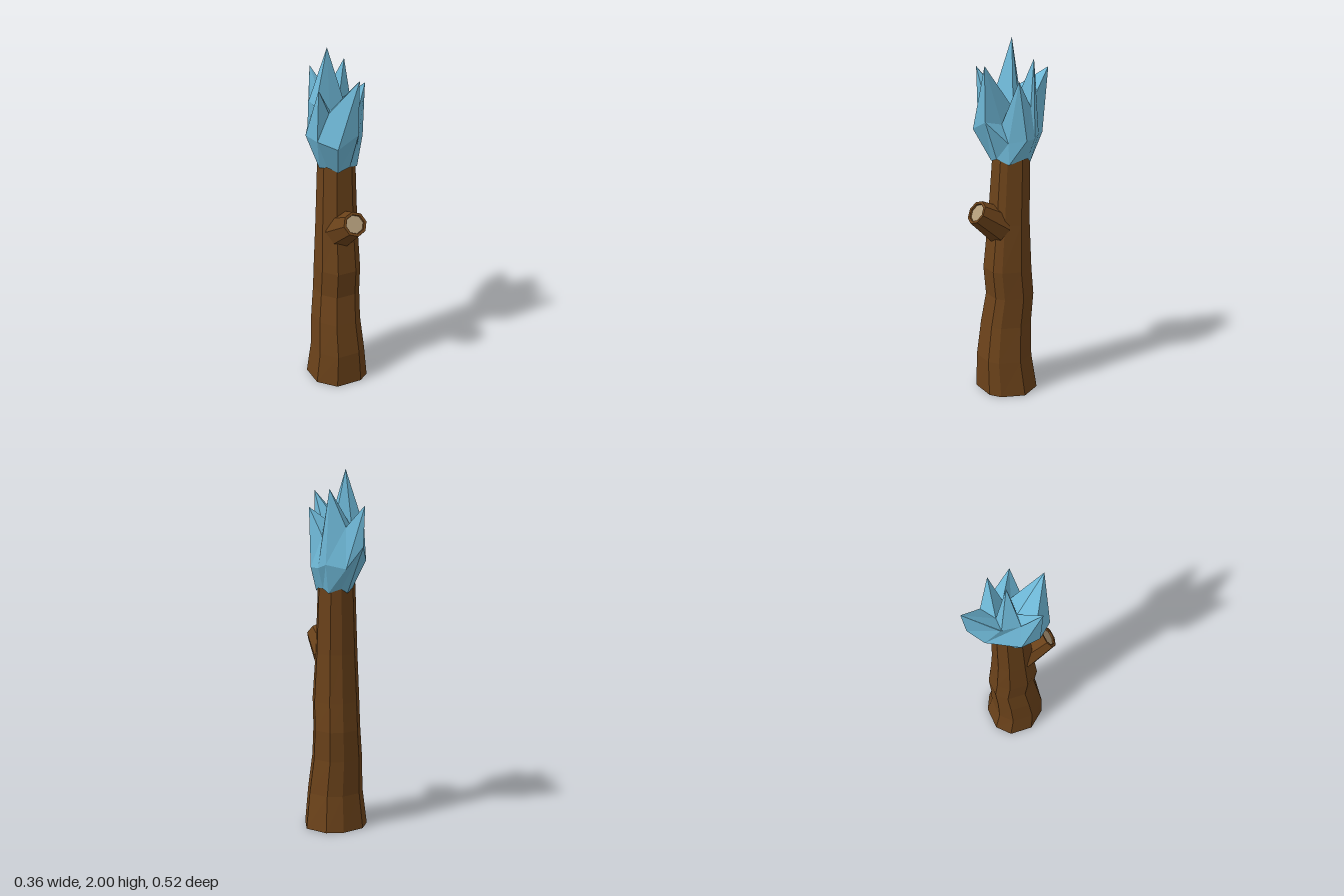
import * as THREE from 'three';

const material = (color) =>
  new THREE.MeshStandardMaterial({ color, flatShading: true, side: THREE.DoubleSide });
const bark = material(0x6b421a);
const wood = material(0xb09a78);
const ice = material(0x6fb9d8);

// Skins a stack of equal-length closed rings of [x, y, z] points, from low to high
function loft(rings) {
  const n = rings[0].length;
  const index = [];
  for (let r = 0; r < rings.length - 1; r++) {
    for (let i = 0; i < n; i++) {
      const a = r * n + i, b = r * n + (i + 1) % n;
      index.push(a, a + n, b, b, a + n, b + n);
    }
  }
  const geometry = new THREE.BufferGeometry();
  geometry.setAttribute('position', new THREE.Float32BufferAttribute(rings.flat(2), 3));
  geometry.setIndex(index);
  const flat = geometry.toNonIndexed();
  flat.computeVertexNormals();
  return flat;
}

function mesh(name, geometry, mat) {
  const m = new THREE.Mesh(geometry, mat);
  m.name = name;
  return m;
}

// Nine-sided trunk: one outline fitted to the bounds of each level
function makeTrunk() {
  const outline = [[0.18, 0.02], [0.125, 0.145], [0.065, 0.185], [-0.085, 0.18], [-0.17, 0.085],
    [-0.17, -0.05], [-0.1, -0.125], [0.03, -0.14], [0.12, -0.1]];
  const levels = [ // y, xMin, xMax, zMin, zMax
    [0, -0.17, 0.18, -0.14, 0.185],
    [0.2, -0.152, 0.152, -0.112, 0.183],
    [0.4, -0.142, 0.132, -0.115, 0.155],
    [0.57, -0.122, 0.134, -0.125, 0.13],
    [0.73, -0.122, 0.13, -0.113, 0.145],
    [1.0, -0.11, 0.118, -0.1, 0.117],
    [1.38, -0.092, 0.11, -0.1, 0.092],
  ];
  const rings = levels.map(([y, x0, x1, z0, z1]) => outline.map(([x, z]) => [
    THREE.MathUtils.mapLinear(x, -0.17, 0.18, x0, x1), y,
    THREE.MathUtils.mapLinear(z, -0.14, 0.185, z0, z1)]));
  return mesh('trunk', loft(rings), bark);
}

// Sawn-off branch with a rim and a recessed cut face
function makeBranch() {
  const branch = new THREE.Group();
  branch.name = 'branchStub';
  const profile = [[0.102, 0], [0.068, 0.18], [0.053, 0.18], [0.05, 0.17]]
    .map(([r, h]) => new THREE.Vector2(r, h));
  const cut = new THREE.CircleGeometry(0.051, 8).rotateX(-Math.PI / 2).translate(0, 0.171, 0);
  branch.add(
    mesh('branchBark', new THREE.LatheGeometry(profile, 8), bark),
    mesh('branchCutFace', cut, wood));
  branch.position.set(0, 0.98, 0.07);
  branch.rotation.x = Math.atan2(0.15, 0.1);
  return branch;
}

// Crystal crown: each column holds its bulge, its rim (spike tip or valley) and its inner floor point
function makeCrown() {
  const right = [0.055, 1.64, 0.02], front = [-0.05, 1.67, 0.02], left = [-0.13, 1.7, 0.015];
  const back = [-0.045, 1.69, -0.09], mid = [0.03, 1.7, -0.03], corner = [-0.12, 1.7, -0.085];
  const columns = [
    [[0.158, 1.48, 0], [0.145, 1.8, 0.042], right],
    [[0.09, 1.46, 0.072], [0.052, 1.56, 0.09], right],
    [[0.035, 1.58, 0.182], [0.037, 1.88, 0.185], front],
    [[-0.085, 1.52, 0.185], [-0.1, 1.7, 0.11], front],
    [[-0.165, 1.55, 0.105], [-0.16, 1.84, 0.115], left],
    [[-0.182, 1.55, 0], [-0.132, 1.71, 0.01], left],
    [[-0.09, 1.52, -0.165], [-0.12, 1.7, -0.09], corner],
    [[-0.03, 1.6, -0.24], [-0.027, 1.82, -0.262], back],
    [[0.04, 1.48, -0.18], [0.025, 1.7, -0.15], back],
    [[0.12, 1.5, -0.1], [0.09, 1.9, -0.088], mid],
    [[0.145, 1.48, -0.06], [0.115, 1.65, -0.052], mid],
  ];
  // Lower edge hugs the top of the trunk
  const collar = columns.map(([[x, , z]], i) => {
    const a = Math.atan2(z, x);
    return [0.005 + 0.108 * Math.cos(a), i % 2 ? 1.34 : 1.365, 0.108 * Math.sin(a)];
  });
  const peak = columns.map(() => [-0.038, 2, -0.033]);
  const layer = (k) => columns.map((c) => c[k]);
  return mesh('crystalCrown', loft([collar, layer(0), layer(1), layer(2), peak]), ice);
}

export function createModel() {
  const model = new THREE.Group();
  model.name = 'crystalToppedTrunk';
  model.add(makeTrunk(), makeBranch(), makeCrown());
  return model;
}
